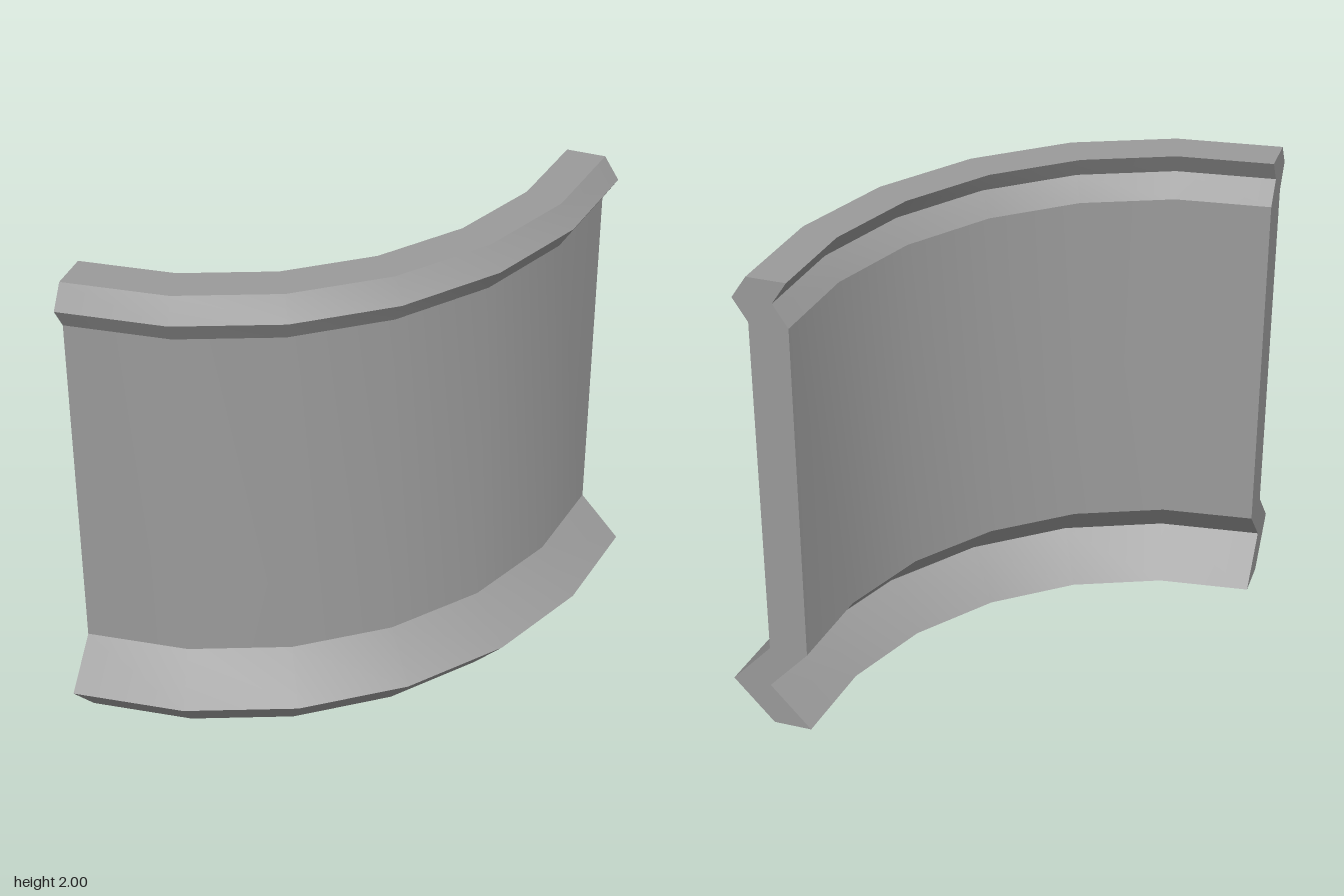
import * as THREE from 'three';
import { toCreasedNormals } from 'three/addons/utils/BufferGeometryUtils.js';

const CENTRE = -0.864; // arc axis in x and z
const WALL = 0.153;    // wall thickness
const RADIUS = 1.567;  // outer face of the plain wall

export function createModel() {
  const group = new THREE.Group();
  const material = new THREE.MeshStandardMaterial({ color: 0x9a9a9a });

  // outer edge as [radius, height]: base ridge, plain wall, top ridge
  const outer = [
    [RADIUS, 0], [RADIUS + 0.16, 0.183], [RADIUS, 0.365],
    [RADIUS, 1.816], [RADIUS + 0.058, 1.908], [RADIUS, 2],
  ];
  // inner edge runs parallel, so the ridges are hollow behind
  const inner = outer.map(([r, y]) => [r - WALL, y]).reverse();
  const profile = [...outer, ...inner].map(([r, y]) => new THREE.Vector2(r, y));

  const add = (name, geometry) => {
    geometry.translate(CENTRE, 0, CENTRE);
    const mesh = new THREE.Mesh(geometry, material);
    mesh.name = name;
    group.add(mesh);
  };

  // quarter-circle wall in six facets, smooth around the arc and sharp at ridges
  const sweep = new THREE.LatheGeometry([...profile, profile[0].clone()], 6, 0, Math.PI / 2);
  add('curvedWall', toCreasedNormals(sweep, 0.4));

  // flat cut ends
  const cap = (side) => new THREE.ShapeGeometry(
    new THREE.Shape(profile.map((p) => new THREE.Vector2(p.x * side, p.y))));
  add('rightEnd', cap(1).rotateY(-Math.PI / 2));
  add('backEnd', cap(-1).rotateY(Math.PI));

  return group;
}
